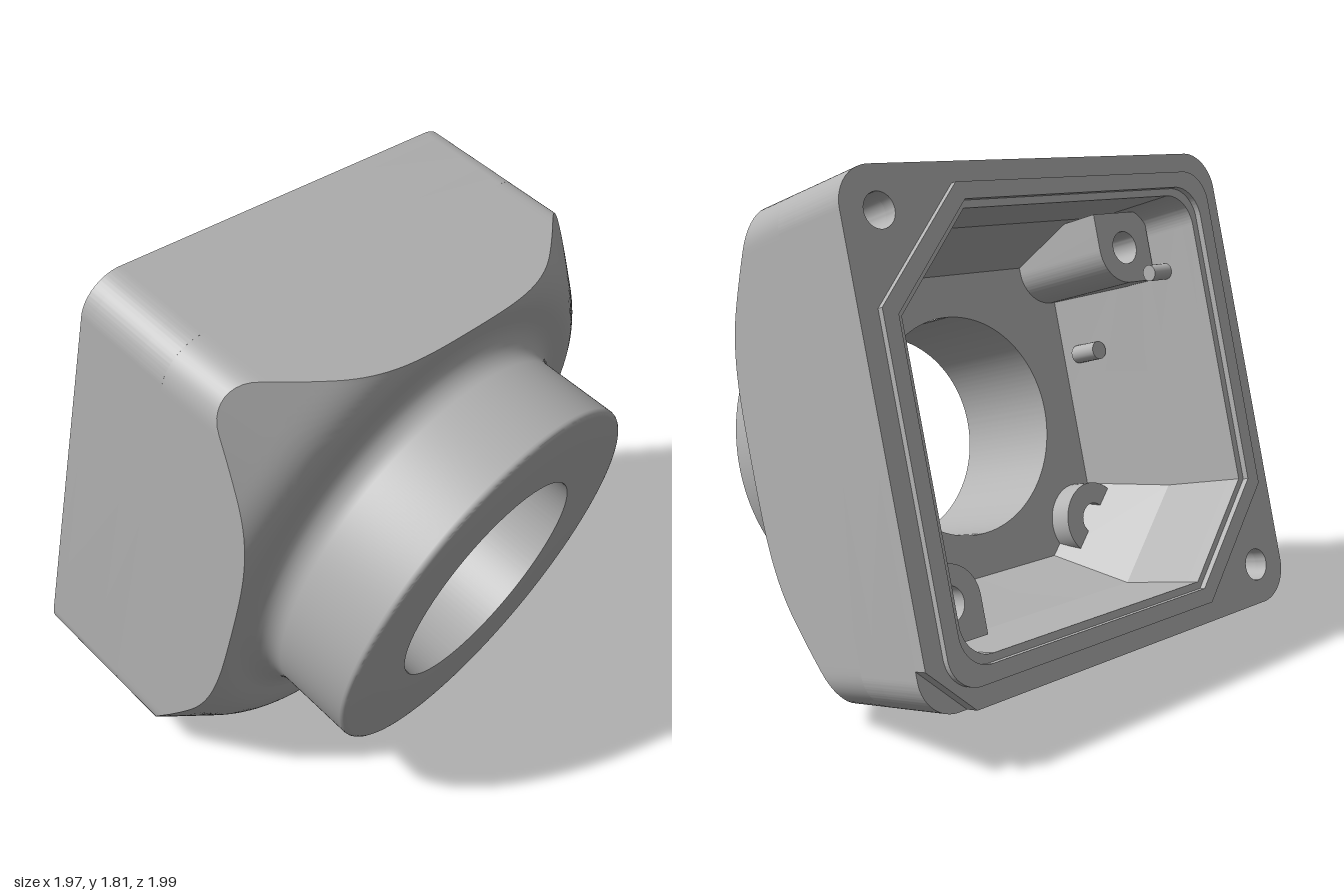
import * as THREE from 'three';
import { toCreasedNormals } from 'three/addons/utils/BufferGeometryUtils.js';

// Local frame: bore axis on +z, open back on -z
const HALF = 0.83, CORNER = 0.13;
const BACK = -0.67, RIM_END = -0.32, FLOOR = 0, SHOULDER = 0.118, FRONT = 0.49;
const NECK_R = 0.685, BORE_R = 0.405, FILLET = 0.09;
const CONE_START = 0.82, CONE_FULL = 0.98, CONE_SLOPE = 1.1;

export function createModel() {
  const metal = new THREE.MeshStandardMaterial({ color: 0xb4b4b4 });
  metal.name = 'grey metal';
  const model = new THREE.Group();
  const housing = new THREE.Group();
  housing.name = 'housing';
  housing.rotation.set(THREE.MathUtils.degToRad(16), THREE.MathUtils.degToRad(55), 0, 'YXZ');
  housing.position.set(0.184, 0.831, 0.159);
  model.add(housing);

  const add = (name, geometry, x = 0, y = 0, z = 0) => {
    const mesh = new THREE.Mesh(geometry, metal);
    mesh.name = name;
    mesh.position.set(x, y, z);
    housing.add(mesh);
    return mesh;
  };

  // Closed rings of points joined into a skin
  const loft = rings => {
    const n = rings[0].length, pos = [], idx = [];
    rings.forEach(r => r.forEach(p => pos.push(p.x, p.y, p.z)));
    for (let i = 0; i < rings.length - 1; i++) {
      for (let j = 0; j < n; j++) {
        const a = i * n + j, b = i * n + (j + 1) % n;
        idx.push(a, b, a + n, b, b + n, a + n);
      }
    }
    const g = new THREE.BufferGeometry();
    g.setAttribute('position', new THREE.Float32BufferAttribute(pos, 3));
    g.setIndex(idx);
    return toCreasedNormals(g, 0.4);
  };

  const slab = (shape, z0, z1, curveSegments = 24) => {
    const g = new THREE.ExtrudeGeometry(shape, { depth: z1 - z0, bevelEnabled: false, curveSegments });
    g.translate(0, 0, z0);
    return toCreasedNormals(g, 0.5);
  };

  const circle = (x, y, r) => new THREE.Path().absarc(x, y, r, 0, Math.PI * 2, true);

  // Square outline with round corners; one corner may be notched
  const bodyShape = notched => {
    const s = new THREE.Shape(), c = HALF - CORNER;
    s.absarc(c, c, CORNER, 0, Math.PI / 2);
    s.absarc(-c, c, CORNER, Math.PI / 2, Math.PI);
    s.absarc(-c, -c, CORNER, Math.PI, Math.PI * 1.5);
    if (notched) {
      s.lineTo(0.67, -HALF);
      s.lineTo(HALF, -0.67);
    } else s.absarc(c, -c, CORNER, Math.PI * 1.5, Math.PI * 2);
    s.closePath();
    return s;
  };

  // Cavity outline: two opposite corners cut, two rounded
  const cavityShape = (h, cut, r = 0.11) => {
    const s = new THREE.Shape(), c = h - r;
    s.moveTo(h, h - cut);
    s.lineTo(h - cut, h);
    s.lineTo(-c, h);
    s.absarc(-c, c, r, Math.PI / 2, Math.PI);
    s.lineTo(-h, cut - h);
    s.lineTo(cut - h, -h);
    s.lineTo(c, -h);
    s.absarc(c, -c, r, Math.PI * 1.5, Math.PI * 2);
    s.closePath();
    return s;
  };

  // Distance from the axis to the rounded square at an angle
  const squareRadius = t => {
    const x = Math.abs(Math.cos(t)), y = Math.abs(Math.sin(t));
    const c = HALF - CORNER, m = Math.max(x, y);
    if (Math.min(x, y) / m <= c / HALF) return HALF / m;
    const d = c * (x + y);
    return d + Math.sqrt(CORNER * CORNER - (2 * c * c - d * d));
  };
  const ring = f => Array.from({ length: 360 }, (_, i) => {
    const t = i / 180 * Math.PI, [r, z] = f(squareRadius(t));
    return new THREE.Vector3(r * Math.cos(t), r * Math.sin(t), z);
  });

  // Front half: flat sides, then conical corners easing into the shoulder
  const frontZ = r => {
    const width = CONE_FULL - CONE_START;
    const eased = THREE.MathUtils.clamp(r - CONE_START, 0, width);
    return SHOULDER - CONE_SLOPE * (eased * eased / (2 * width) + Math.max(0, r - CONE_FULL));
  };
  add('bodySides', loft([ring(s => [s, RIM_END]), ring(s => [s, frontZ(s)])]));
  const shoulder = [];
  for (let i = 0; i <= 14; i++) {
    shoulder.push(ring(s => {
      const r = THREE.MathUtils.lerp(s, NECK_R + FILLET, i / 14);
      return [r, frontZ(r)];
    }));
  }
  add('shoulder', loft(shoulder));

  // Neck with root fillet, rounded lip and through bore
  const profile = [];
  for (let i = 0; i <= 8; i++) {
    const a = i / 8 * Math.PI / 2;
    profile.push([NECK_R + FILLET * (1 - Math.sin(a)), SHOULDER + FILLET * (1 - Math.cos(a))]);
  }
  for (let i = 0; i <= 4; i++) {
    const a = i / 4 * Math.PI / 2;
    profile.push([NECK_R - 0.02 * (1 - Math.cos(a)), FRONT - 0.02 * (1 - Math.sin(a))]);
  }
  profile.push([BORE_R, FRONT], [BORE_R, FLOOR]);
  add('neckAndBore', loft(profile.map(p => ring(() => p))));

  // Back rim in layers: notched edge, screw hole depth, solid base
  const layers = [[BACK, -0.62, true, true], [-0.62, -0.42, false, true], [-0.42, RIM_END, false, false]];
  for (const [z0, z1, notched, screws] of layers) {
    const s = bodyShape(notched);
    s.holes.push(cavityShape(0.68, 0.31));
    if (screws) for (const k of [1, -1]) s.holes.push(circle(0.69 * k, 0.69 * k, 0.057));
    add('backRim', slab(s, z0, z1));
  }

  // Raised sealing lip
  const lip = cavityShape(0.76, 0.36);
  lip.holes.push(cavityShape(0.705, 0.33));
  add('sealingLip', slab(lip, BACK - 0.022, BACK + 0.005));

  // Tapered cavity wall and floor
  const at = (shape, z) => shape.getPoints(10).slice(0, -1).map(p => new THREE.Vector3(p.x, p.y, z));
  add('cavityWall', loft([at(cavityShape(0.56, 0.24), FLOOR), at(cavityShape(0.68, 0.31), RIM_END)]));
  const floor = cavityShape(0.565, 0.24);
  floor.holes.push(circle(0, 0, BORE_R + 0.001));
  add('cavityFloor', slab(floor, FLOOR, FLOOR + 0.02, 120));

  // Screw bosses, ledges and tabs, repeated at half a turn
  for (const k of [1, -1]) {
    const turn = k === 1 ? 0 : Math.PI;

    const ledge = new THREE.Shape();
    ledge.moveTo(-0.67, 0.67);
    ledge.lineTo(-0.67, 0.41);
    ledge.lineTo(-0.54, 0.41);
    ledge.absarc(-0.54, 0.54, 0.13, -Math.PI / 2, 0);
    ledge.lineTo(-0.41, 0.67);
    ledge.closePath();
    ledge.holes.push(circle(-0.54, 0.54, 0.06));
    add('cornerBoss', slab(ledge, -0.45, FLOOR)).rotation.z = turn;

    const boss = new THREE.Shape().absarc(-0.48, -0.45, 0.14, 0, Math.PI * 2);
    boss.holes.push(circle(-0.48, -0.45, 0.06));
    add('floorBoss', slab(boss, -0.09, FLOOR)).rotation.z = turn;

    const tab = add('cavityTab', new THREE.CylinderGeometry(0.03, 0.03, 0.1, 16), -0.64 * k, 0.43 * k, -0.5);
    tab.rotation.z = Math.PI / 2;
  }
  const pin = add('cavityPin', new THREE.CylinderGeometry(0.035, 0.035, 0.12, 20), -0.58, 0.19, -0.12);
  pin.rotation.x = Math.PI / 2;

  return model;
}
